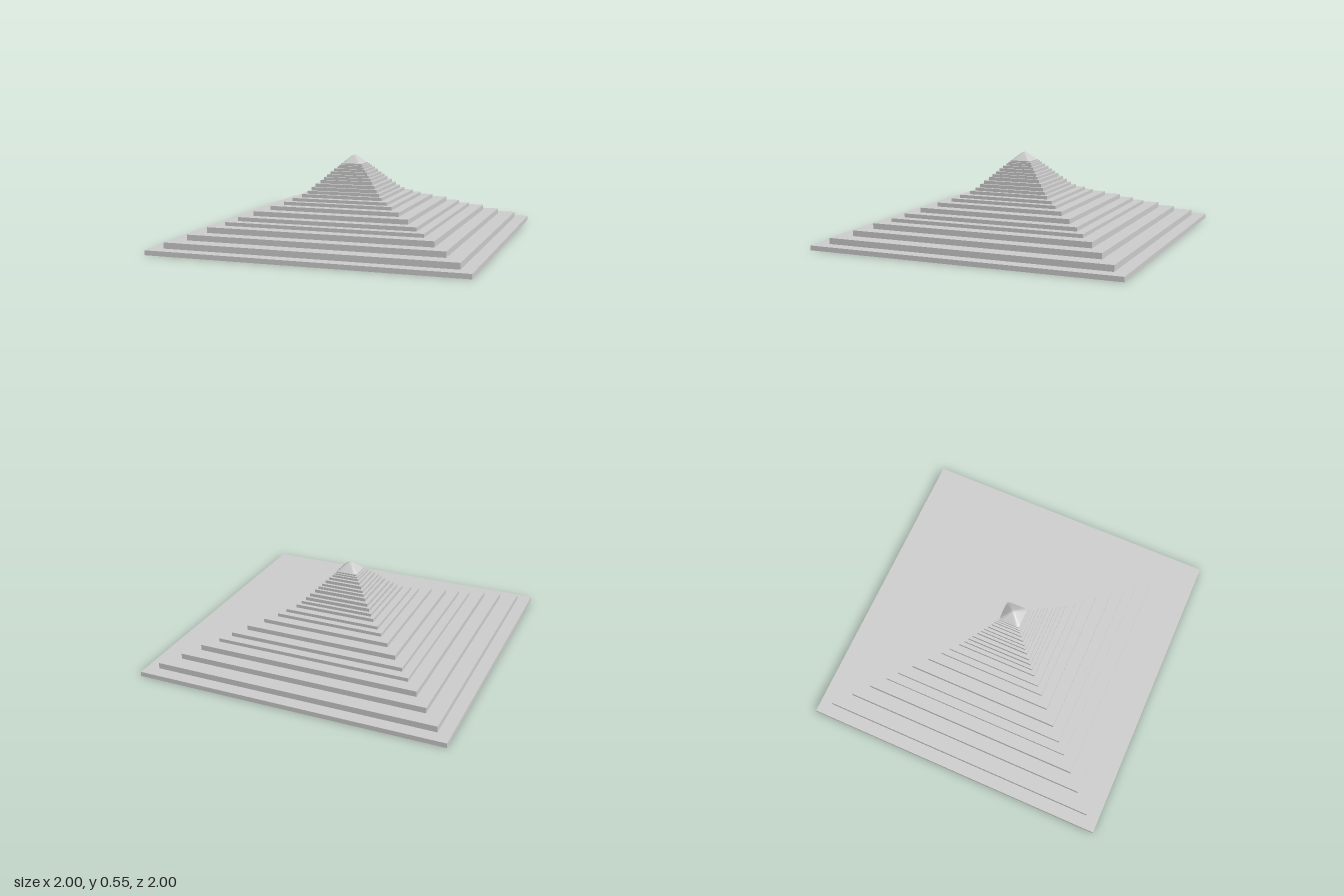
import * as THREE from 'three';

// Each terrace: [half width, height of its top]
const TERRACES = [
  [1, 0.03], [0.917, 0.068], [0.813, 0.104], [0.722, 0.14], [0.638, 0.163],
  [0.578, 0.188], [0.505, 0.218], [0.424, 0.244], [0.358, 0.265], [0.316, 0.285],
  [0.268, 0.306], [0.242, 0.325], [0.22, 0.347], [0.2, 0.368], [0.175, 0.39],
  [0.158, 0.407], [0.142, 0.423], [0.124, 0.443], [0.106, 0.459], [0.09, 0.473],
  [0.08, 0.483], [0.07, 0.492],
];
const PEAK = 0.545;

export function createModel() {
  const group = new THREE.Group();
  group.name = 'steppedPyramid';
  const material = new THREE.MeshStandardMaterial({ color: 0xcccccc });

  // Stacked square terraces
  let bottom = 0;
  TERRACES.forEach(([half, top], i) => {
    const terrace = new THREE.Mesh(
      new THREE.BoxGeometry(half * 2, top - bottom, half * 2), material);
    terrace.position.y = (top + bottom) / 2;
    terrace.name = `terrace${i + 1}`;
    group.add(terrace);
    bottom = top;
  });

  // Softly rounded pyramid tip, a plane raised by its squarish radius
  const half = TERRACES[TERRACES.length - 1][0];
  const tip = new THREE.PlaneGeometry(half * 2, half * 2, 24, 24).rotateX(-Math.PI / 2);
  const pos = tip.attributes.position;
  const round = 0.015;
  const slope = (r) => Math.hypot(r, round) - round;
  for (let i = 0; i < pos.count; i++) {
    const r = Math.pow(Math.abs(pos.getX(i)) ** 6 + Math.abs(pos.getZ(i)) ** 6, 1 / 6);
    const fall = Math.min(1, slope(r) / slope(half));
    pos.setY(i, PEAK - (PEAK - bottom) * fall);
  }
  tip.computeVertexNormals();
  const tipMesh = new THREE.Mesh(tip, material);
  tipMesh.name = 'roundedTip';
  group.add(tipMesh);

  return group;
}
